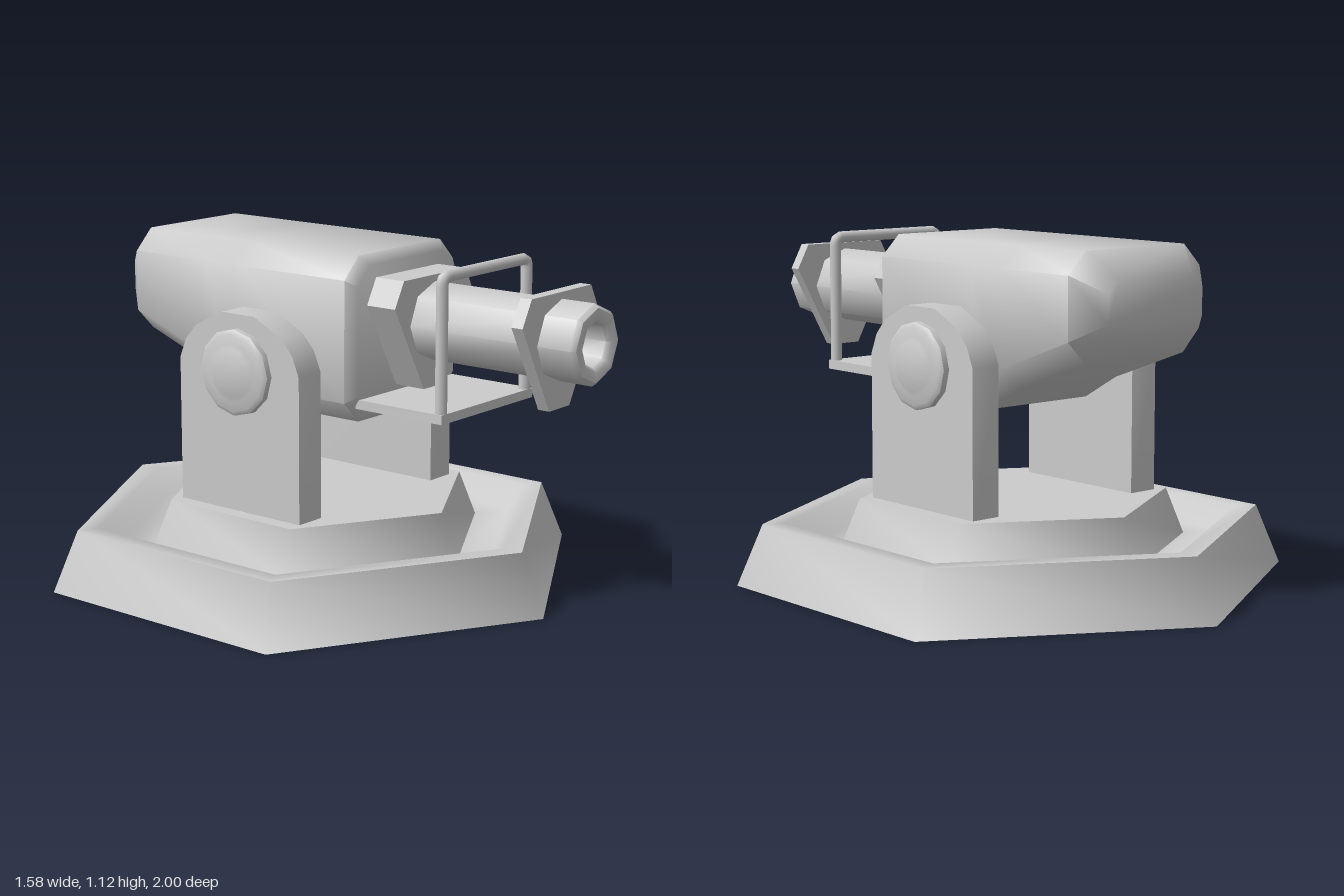
import * as THREE from 'three';
import { toCreasedNormals } from 'three/addons/utils/BufferGeometryUtils.js';

const material = new THREE.MeshStandardMaterial({ color: 0xcccccc });
const PIVOT_Z = -0.085, PIVOT_Y = 0.73, BARREL_Y = 0.895;

function add(parent, name, geometry, crease = 0.9) {
  const mesh = new THREE.Mesh(crease ? toCreasedNormals(geometry, crease) : geometry, material);
  mesh.name = name;
  parent.add(mesh);
  return mesh;
}

const points = (list) => list.map(([x, y]) => new THREE.Vector2(x, y));
const lathe = (profile, sides) => new THREE.LatheGeometry(points(profile), sides);
const extrude = (outline, depth) =>
  new THREE.ExtrudeGeometry(new THREE.Shape(points(outline)), { depth, bevelEnabled: false });

// Skin chamfered rectangles [z, half width, bottom, top, chamfer], ordered back to front
function loftHousing(sections) {
  const position = [], index = [], n = 8;
  for (const [z, w, b, t, c] of sections) {
    const ring = [[w, b + c], [w, t - c], [w - c, t], [c - w, t], [-w, t - c], [-w, b + c], [c - w, b], [w - c, b]];
    for (const [x, y] of ring) position.push(x, y, z);
  }
  const last = (sections.length - 1) * n;
  for (let i = 0; i < last; i += n) {
    for (let j = 0; j < n; j++) {
      const k = (j + 1) % n;
      index.push(i + j, i + k, i + n + k, i + j, i + n + k, i + n + j);
    }
  }
  for (let j = 1; j < n - 1; j++) {
    index.push(0, j + 1, j, last, last + j, last + j + 1);
  }
  const geometry = new THREE.BufferGeometry();
  geometry.setAttribute('position', new THREE.Float32BufferAttribute(position, 3));
  geometry.setIndex(index);
  return geometry;
}

export function createModel() {
  const model = new THREE.Group();
  model.name = 'mountedTurret';

  // Hexagonal base: sloped rim, sunken channel and raised plinth
  const base = add(model, 'base', lathe([
    [0, 0], [0.915, 0], [0.83, 0.2], [0.76, 0.2], [0.7, 0.115],
    [0.577, 0.115], [0.515, 0.27], [0, 0.27],
  ], 6), 1.15);
  base.position.z = PIVOT_Z;

  // Arched side brackets with domed pivot caps
  const half = [[0.252, 0.25], [0.252, 0.745], [0.225, 0.81], [0.18, 0.86], [0.07, 0.915]];
  const arch = [...half, ...half.map(([x, y]) => [-x, y]).reverse()];
  for (const side of [1, -1]) {
    const label = side > 0 ? 'left' : 'right';
    const bracket = add(model, label + 'Bracket', extrude(arch, 0.106).translate(0, 0, -0.053).rotateY(Math.PI / 2));
    bracket.position.set(side * 0.342, 0, PIVOT_Z);

    const cap = add(model, label + 'PivotCap', lathe([
      [0.14, -0.02], [0.14, 0.022], [0.125, 0.032], [0.095, 0.032], [0.08, 0.038], [0, 0.046],
    ], 12).rotateZ(-side * Math.PI / 2));
    cap.position.set(side * 0.394, PIVOT_Y, PIVOT_Z);
  }

  // Housing with chamfered edges and a rising rear underside
  add(model, 'housing', loftHousing([
    [-0.73, 0.2, 0.86, 1.03, 0.04],
    [-0.64, 0.28, 0.775, 1.115, 0.07],
    [-0.34, 0.28, 0.665, 1.115, 0.07],
    [-0.2, 0.28, 0.585, 1.115, 0.07],
    [0.255, 0.28, 0.585, 1.115, 0.07],
    [0.285, 0.25, 0.615, 1.085, 0.06],
  ]), 0.95);

  // Matching blunt triangular collar and muzzle plate
  const wedge = [[0.055, 0.683], [0.205, 0.96], [0.16, 1.043], [-0.16, 1.043], [-0.205, 0.96], [-0.055, 0.683]];
  add(model, 'barrelCollar', extrude(wedge, 0.125), 0.4).position.z = 0.27;
  add(model, 'muzzlePlate', extrude(wedge, 0.04), 0.4).position.z = 0.83;

  // Octagonal barrel with an open bore
  const barrel = add(model, 'barrel', lathe([
    [0.127, 0.35], [0.127, 0.985], [0.115, 1], [0.083, 1], [0.07, 0.985], [0.07, 0.87], [0, 0.87],
  ], 8).rotateX(Math.PI / 2));
  barrel.position.y = BARREL_Y;

  // Wire guard hoop standing on a thin shelf
  const hoop = new THREE.CurvePath();
  const v = (x, y) => new THREE.Vector3(x, y, 0.588);
  const X = 0.222, Y = 1.086, R = 0.025;
  hoop.add(new THREE.LineCurve3(v(-X, 0.645), v(-X, Y - R)));
  hoop.add(new THREE.QuadraticBezierCurve3(v(-X, Y - R), v(-X, Y), v(R - X, Y)));
  hoop.add(new THREE.LineCurve3(v(R - X, Y), v(X - R, Y)));
  hoop.add(new THREE.QuadraticBezierCurve3(v(X - R, Y), v(X, Y), v(X, Y - R)));
  hoop.add(new THREE.LineCurve3(v(X, Y - R), v(X, 0.645)));
  add(model, 'guardHoop', new THREE.TubeGeometry(hoop, 96, 0.019, 8), 0);
  const shelf = add(model, 'guardShelf', new THREE.BoxGeometry(0.485, 0.03, 0.335), 0);
  shelf.position.set(0, 0.65, 0.4385);

  return model;
}
